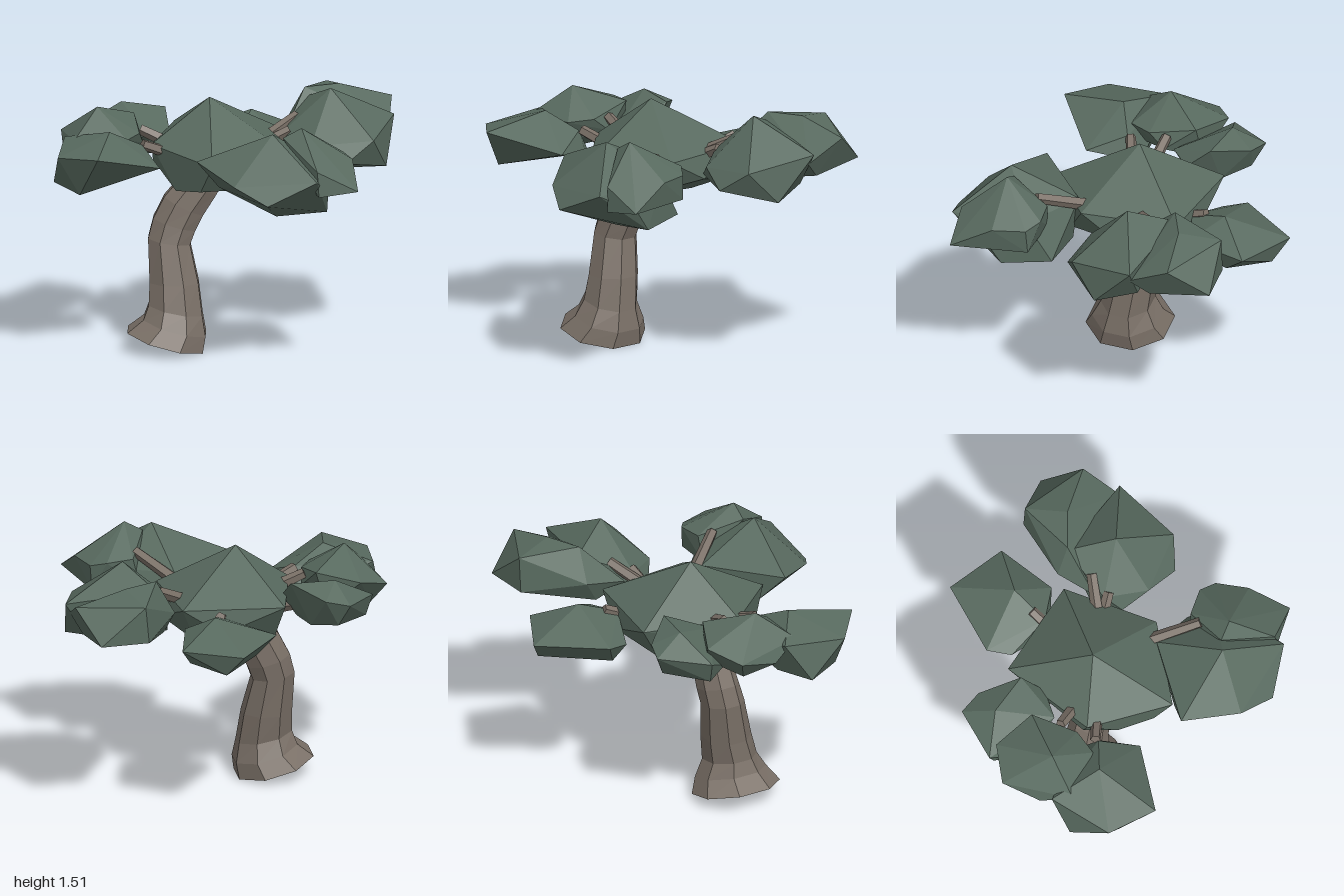
import * as THREE from 'three';
import { ConvexGeometry } from 'three/addons/geometries/ConvexGeometry.js';

const leaf = new THREE.MeshStandardMaterial({ color: 0x586a5f, flatShading: true });
leaf.name = 'leafGreen';
const bark = new THREE.MeshStandardMaterial({ color: 0x7a7067, flatShading: true });
bark.name = 'barkBrown';

// Faceted leaf clump: the hull of a few corner points
function clump(name, ...corners) {
  const mesh = new THREE.Mesh(new ConvexGeometry(corners.map(c => new THREE.Vector3(...c))), leaf);
  mesh.name = name;
  return mesh;
}

// Trunk lofted through tilted rings: [x, y, z, radiusX, radiusZ, slope]
function trunk() {
  const rings = [
    [-0.345, 0.065, 0.16, 0.225, 0.25, -0.27],
    [-0.29, 0.15, 0.155, 0.185, 0.2, -0.27],
    [-0.285, 0.25, 0.15, 0.16, 0.15, -0.2],
    [-0.295, 0.41, 0.12, 0.145, 0.14, 0],
    [-0.325, 0.65, 0.08, 0.125, 0.12, -0.15],
    [-0.295, 0.75, 0.065, 0.125, 0.115, -0.3],
    [-0.24, 0.86, 0.06, 0.115, 0.105, -0.5],
    [-0.15, 0.98, 0.045, 0.105, 0.1, -0.5],
    [-0.07, 1.1, 0.03, 0.09, 0.09, -0.5],
  ];
  const sides = 8, pos = [], index = [];
  for (const [x, y, z, rx, rz, slope] of rings)
    for (let i = 0; i < sides; i++) {
      const a = (i + 0.5) / sides * Math.PI * 2;
      const dx = Math.cos(a) * rx * 1.07;
      pos.push(x + dx, y + dx * slope, z + Math.sin(a) * rz * 1.07);
    }
  for (let r = 0; r < rings.length - 1; r++)
    for (let i = 0; i < sides; i++) {
      const a = r * sides + i, b = r * sides + (i + 1) % sides;
      index.push(a, a + sides, b, b, a + sides, b + sides);
    }
  // End caps
  const top = (rings.length - 1) * sides;
  for (let i = 1; i < sides - 1; i++) index.push(0, i, i + 1, top, top + i + 1, top + i);
  const geo = new THREE.BufferGeometry();
  geo.setAttribute('position', new THREE.Float32BufferAttribute(pos, 3));
  geo.setIndex(index);
  const flat = geo.toNonIndexed();
  flat.computeVertexNormals();
  const mesh = new THREE.Mesh(flat, bark);
  mesh.name = 'trunk';
  return mesh;
}

// Tapered five-sided branch between two points
function branch(name, from, to) {
  const a = new THREE.Vector3(...from), b = new THREE.Vector3(...to);
  const dir = b.clone().sub(a);
  const mesh = new THREE.Mesh(new THREE.CylinderGeometry(0.032, 0.042, dir.length(), 5), bark);
  mesh.position.copy(a).add(b).multiplyScalar(0.5);
  mesh.quaternion.setFromUnitVectors(new THREE.Vector3(0, 1, 0), dir.normalize());
  mesh.name = name;
  return mesh;
}

export function createModel() {
  const tree = new THREE.Group();
  tree.name = 'tree';
  tree.add(trunk());

  // Branches reaching from the crown to the outer clumps
  const branches = [
    ['backBranch', [0.0, 1.06, -0.1], [0.085, 1.23, -0.49]],
    ['leftBackBranch', [0.1, 1.14, -0.03], [0.42, 1.33, -0.26]],
    ['leftBranch', [0.0, 1.08, -0.06], [0.38, 1.27, -0.13]],
    ['leftFrontBranch', [0.1, 1.15, 0.05], [0.43, 1.33, 0.45]],
    ['frontBranch', [-0.05, 1.05, 0.05], [0.25, 1.15, 0.5]],
    ['rightBranch', [-0.15, 1.14, 0.02], [-0.5, 1.3, -0.01]],
    ['rightFrontBranch', [-0.1, 1.1, 0.05], [-0.48, 1.26, 0.21]],
    ['rightBackBranch', [-0.1, 1.08, -0.02], [-0.46, 1.2, -0.24]],
  ];
  for (const b of branches) tree.add(branch(...b));

  tree.add(
    clump('centreClump', [-0.09, 1.5, 0], [-0.31, 1.25, -0.45], [0.29, 1.24, -0.38], [0.35, 1.23, 0.2],
      [-0.06, 1.19, 0.51], [-0.43, 1.24, 0.13], [-0.42, 1.14, 0.1], [0.06, 1.1, -0.43], [0.37, 1.1, -0.03],
      [0.2, 1.02, 0.32], [-0.13, 1.02, 0.42], [-0.28, 0.99, 0.26], [-0.27, 1.04, -0.33], [0.2, 1.02, -0.3],
      [0.14, 0.98, -0.12], [0.02, 0.97, 0.05]),
    clump('backClump', [0.14, 1.28, -0.63], [0.03, 1.15, -1], [0.37, 1.15, -0.83], [-0.23, 1.15, -0.63],
      [-0.18, 1.12, -0.49], [0.29, 1.16, -0.46], [0.08, 1.2, -0.4], [0.12, 1.02, -0.92], [0.3, 1.03, -0.7],
      [0.1, 0.98, -0.38], [-0.12, 1.0, -0.55]),
    clump('leftBackClump', [0.46, 1.46, -0.44], [0.66, 1.46, -0.54], [0.58, 1.42, -0.78], [0.97, 1.38, -0.59],
      [0.85, 1.2, -0.81], [0.96, 1.26, -0.34], [0.35, 1.26, -0.45], [0.56, 1.2, -0.78], [0.34, 1.22, -0.2],
      [0.9, 1.16, -0.45], [0.4, 1.11, -0.36], [0.66, 1.12, -0.3]),
    clump('leftClump', [0.62, 1.51, -0.2], [0.46, 1.4, -0.45], [0.99, 1.32, -0.36], [0.88, 1.25, 0.05],
      [0.51, 1.22, 0.07], [0.34, 1.26, -0.14], [0.36, 1.13, -0.03], [0.72, 1.13, 0.14], [0.95, 1.06, -0.12],
      [0.86, 1.12, -0.36], [0.36, 1.08, -0.25], [0.62, 1.04, -0.14]),
    clump('frontClump', [0.3, 1.43, 0.66], [-0.15, 1.25, 0.61], [0.23, 1.25, 0.26], [0.57, 1.23, 0.46],
      [0.57, 1.2, 0.93], [0.08, 1.16, 0.89], [0.28, 1.07, 1], [-0.02, 1.07, 0.5], [0.63, 1.09, 0.7],
      [0.54, 0.98, 0.31], [0.22, 0.96, 0.3], [0.62, 0.95, 0.6], [0.32, 0.92, 0.6]),
    clump('leftFrontClump', [0.47, 1.46, 0.62], [0.46, 1.31, 0.37], [0.62, 1.3, 0.35], [0.71, 1.27, 0.41],
      [0.77, 1.27, 0.6], [0.57, 1.25, 0.87], [0.36, 1.4, 0.62], [0.81, 1.13, 0.85], [0.58, 1.1, 0.88],
      [0.7, 1.12, 0.4], [0.42, 1.15, 0.38], [0.55, 1.08, 0.6]),
    clump('rightClump', [-0.75, 1.45, 0.06], [-0.97, 1.26, -0.16], [-0.79, 1.32, -0.29], [-0.54, 1.36, -0.18],
      [-0.5, 1.3, 0.1], [-0.57, 1.29, 0.24], [-0.88, 1.29, 0.26], [-0.95, 1.2, 0.08], [-0.48, 1.22, 0.0],
      [-0.62, 1.16, 0.2], [-0.6, 1.14, -0.2], [-0.88, 1.13, -0.1], [-0.68, 1.1, 0.02]),
    clump('rightFrontClump', [-0.67, 1.36, 0.33], [-0.94, 1.29, 0.15], [-0.97, 1.25, 0.54], [-0.48, 1.26, 0.23],
      [-0.73, 1.28, 0.73], [-0.37, 1.17, 0.45], [-1, 1.05, 0.3], [-0.84, 1.03, 0.55], [-0.43, 1.13, 0.22],
      [-0.5, 1.11, 0.14], [-0.8, 1.06, 0.18]),
    clump('rightBackClump', [-0.62, 1.38, -0.38], [-0.68, 1.28, -0.57], [-0.54, 1.3, -0.53], [-0.36, 1.36, -0.34],
      [-0.33, 1.24, -0.2], [-0.86, 1.25, -0.3], [-0.46, 1.25, -0.07], [-0.7, 1.13, -0.12], [-0.62, 1.14, -0.5],
      [-0.42, 1.11, -0.2], [-0.48, 1.1, -0.36], [-0.82, 1.12, -0.29]),
  );
  return tree;
}
